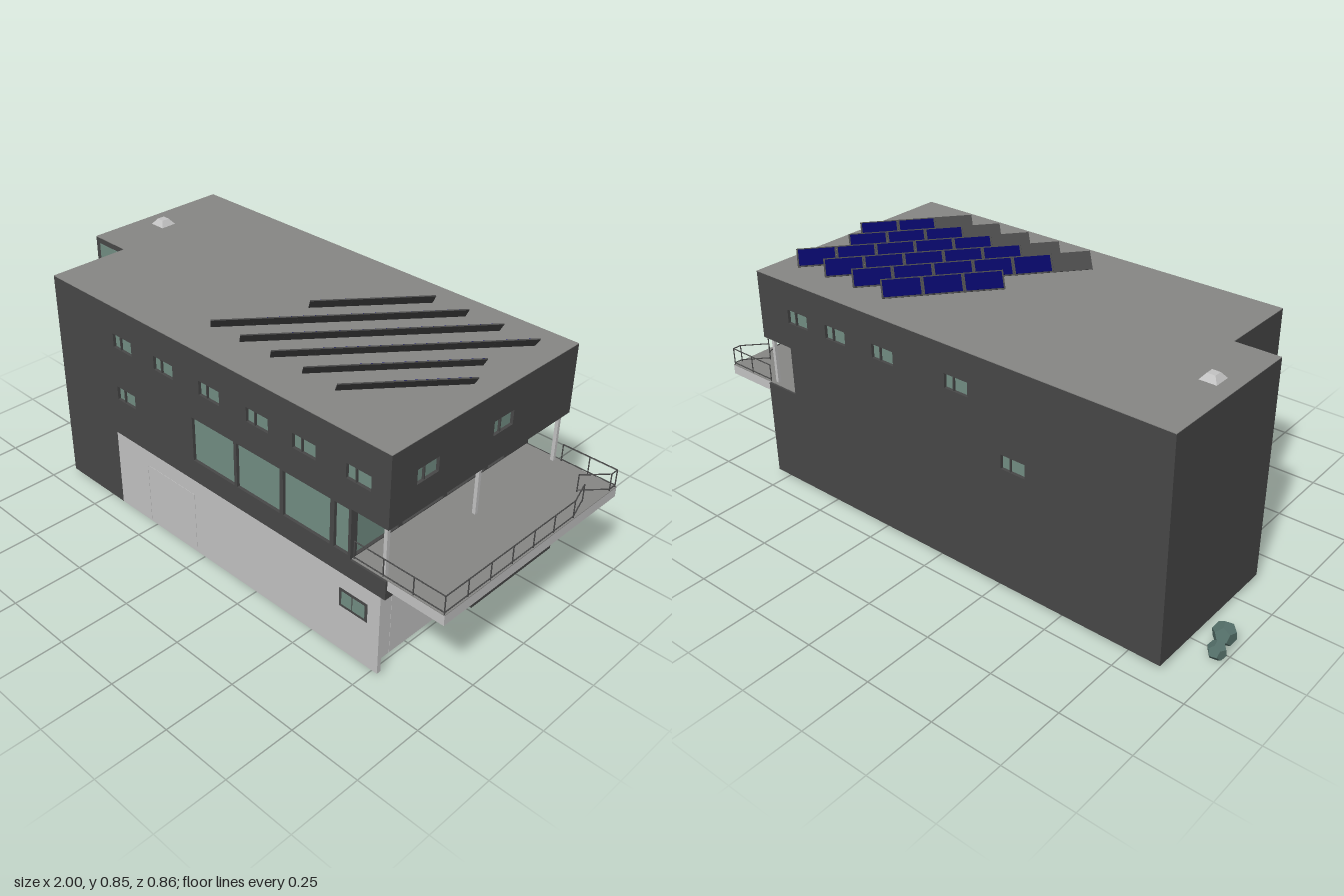
import * as THREE from 'three';

const mat = (name, color) => {
  const m = new THREE.MeshStandardMaterial({ color });
  m.name = name;
  return m;
};
const shapeOf = points => new THREE.Shape(points.map(([x, y]) => new THREE.Vector2(x, y)));

export function createModel() {
  const wall = mat('dark cladding', 0x474747);
  const pale = mat('pale concrete', 0xc3c3c3);
  const roofGrey = mat('roof grey', 0x868684);
  const glass = mat('green glass', 0x728d83);
  const blue = mat('solar blue', 0x06065f);
  const beige = mat('beige plaster', 0xd8cbc3);
  const leaf = mat('bush green', 0x55706a);

  const model = new THREE.Group();
  model.name = 'building';
  const X = 0.796, Z = 0.427, D = 0.014; // outer faces and cladding depth
  const XI = X - D, ZI = Z - D;

  const add = (name, geometry, m, parent = model) => {
    const mesh = new THREE.Mesh(geometry, m);
    mesh.name = name;
    parent.add(mesh);
    return mesh;
  };

  // Box given by its two extreme corners
  const box = (name, m, x0, x1, y0, y1, z0, z1, parent = model) => {
    const mesh = add(name, new THREE.BoxGeometry(x1 - x0, y1 - y0, z1 - z0), m, parent);
    mesh.position.set((x0 + x1) / 2, (y0 + y1) / 2, (z0 + z1) / 2);
    return mesh;
  };

  // Bar between two points
  const bar = (name, m, a, b, r, parent = model) => {
    const p = new THREE.Vector3(...a), q = new THREE.Vector3(...b);
    const mesh = add(name, new THREE.CylinderGeometry(r, r, p.distanceTo(q), 14), m, parent);
    mesh.position.copy(p).add(q).multiplyScalar(0.5);
    mesh.quaternion.setFromUnitVectors(new THREE.Vector3(0, 1, 0), q.sub(p).normalize());
  };

  // Facade planes; local x runs along the wall, local z points outward
  const facade = (name, x, z, turn) => {
    const g = new THREE.Group();
    g.name = name;
    g.position.set(x, 0, z);
    g.rotation.y = turn;
    model.add(g);
    return g;
  };
  const front = facade('frontFacade', 0, Z, 0);
  const back = facade('backFacade', 0, -Z, Math.PI);
  const right = facade('rightFacade', X, 0, Math.PI / 2);
  const terrace = facade('terraceFacade', 0.66, 0, Math.PI / 2);
  const garage = facade('garageFacade', 0.745, 0, Math.PI / 2);
  const tower = facade('towerFacade', 0, 0.13, 0);

  // Cladding sheet with recessed windows: [u0, u1, v0, v1, mullion]
  const cladding = (face, points, windows) => {
    const shape = shapeOf(points);
    windows.forEach(([u0, u1, v0, v1, mullion]) => {
      shape.holes.push(shapeOf([[u0, v0], [u0, v1], [u1, v1], [u1, v0]]));
      box('glassPane', glass, u0, u1, v0, v1, -D, -D + 0.003, face);
      if (mullion) box('mullion', wall, mullion - 0.002, mullion + 0.002, v0, v1, -D, -0.003, face);
    });
    const geometry = new THREE.ExtrudeGeometry(shape, { depth: D, bevelEnabled: false });
    add('cladding', geometry, wall, face).position.z = -D;
  };
  const small = (u, v) => [u, u + 0.093, v, v + 0.05, u + 0.034];
  const pane = (face, u0, u1, v0, v1) => box('glassPane', glass, u0, u1, v0, v1, 0, 0.0022, face);
  const outline = (face, m, u0, u1, v0, v1, t, d) => {
    box('frameLeft', m, u0, u0 + t, v0, v1, 0, d, face);
    box('frameRight', m, u1 - t, u1, v0, v1, 0, d, face);
    box('frameTop', m, u0, u1, v1 - t, v1, 0, d, face);
  };

  // Clad walls, leaving the terrace recess open at the front and back
  cladding(front,
    [[-0.71, 0.015], [-0.425, 0.015], [-0.425, 0.308], [X, 0.308], [X, 0.375], [0.66, 0.375], [0.66, 0.555], [X, 0.555], [X, 0.8], [-0.71, 0.8]],
    [...[-0.402, -0.196, 0.02, 0.232, 0.425, 0.635].map(u => small(u, 0.65)), small(-0.402, 0.45),
      ...[[-0.02, 0.172], [0.184, 0.372], [0.386, 0.578], [0.594, 0.65]].map(([a, b]) => [a, b, 0.388, 0.55])]);
  cladding(back,
    [[-X, 0.015], [0.87, 0.015], [0.87, 0.8], [-X, 0.8], [-X, 0.555], [-0.66, 0.555], [-0.66, 0.375], [-X, 0.375]],
    [...[0.61, 0.43, 0.215, -0.095].map(x => small(-x - 0.046, 0.65)), small(0.27, 0.45)]);
  cladding(right, [[-ZI, 0.555], [ZI, 0.555], [ZI, 0.8], [-ZI, 0.8]],
    [-0.316, 0.024].map(u => small(u, 0.652)));
  cladding(terrace, [[-ZI, 0.375], [ZI, 0.375], [ZI, 0.555], [-ZI, 0.555]],
    [[-0.4, -0.218], [-0.2, -0.008], [0.008, 0.195], [0.212, 0.297]].map(([a, b]) => [a, b, 0.38, 0.548]));

  // Upper storey core and roof deck, with the notch at the front left
  const storey = (name, m, x, z, y0, y1) => {
    const plan = shapeOf([[-0.87, z], [-0.87, -0.13], [-0.71, -0.13], [-0.71, -z], [x, -z], [x, z]]);
    const geometry = new THREE.ExtrudeGeometry(plan, { depth: y1 - y0, bevelEnabled: false });
    geometry.rotateX(-Math.PI / 2);
    add(name, geometry, m).position.y = y0;
  };
  storey('upperStorey', wall, XI, ZI, 0.555, 0.8);
  storey('roofDeck', roofGrey, X, Z, 0.8, 0.802);

  // Middle storey set back behind the terrace
  box('middleStorey', wall, -0.71, 0.66 - D, 0.375, 0.555, -ZI, ZI);
  box('floorBand', wall, -0.71, X, 0.308, 0.375, -ZI, ZI);

  // Ground storey, open below
  box('frontWallPale', pale, -0.425, 0.78, 0.015, 0.308, 0.412, Z);
  box('frontInnerLining', roofGrey, -0.425, 0.73, 0.016, 0.308, 0.408, 0.412);
  box('innerDoor', pale, -0.27, -0.03, 0.016, 0.265, 0.404, 0.408);
  box('rightWall', wall, XI, X, 0.015, 0.308, -ZI, 0);
  box('garageReveal', wall, 0.73, XI, 0.015, 0.308, -0.012, 0);
  box('garageWall', pale, 0.73, 0.745, 0.015, 0.308, 0, 0.412);
  box('leftWall', wall, -0.71, -0.695, 0.015, 0.308, 0.13, ZI);

  // Stair tower with a plastered inside
  box('towerLeftWall', wall, -0.87, -0.858, 0.015, 0.555, -ZI, 0.13);
  box('towerLining', beige, -0.858, -0.852, 0.016, 0.555, -ZI, 0.118);
  box('towerCeiling', beige, -0.852, -0.71, 0.545, 0.555, -ZI, 0.118);
  box('towerFrontWall', wall, -0.858, -0.71, 0.015, 0.555, 0.122, 0.13);
  box('towerFrontLining', beige, -0.852, -0.71, 0.12, 0.545, 0.118, 0.122);
  box('towerInnerDoor', glass, -0.852, -0.71, 0.016, 0.12, 0.118, 0.122);
  const stair = box('stairFlight', roofGrey, -0.85, -0.78, 0.1, 0.115, -0.05, 0.1);
  stair.rotation.x = 0.6;
  pane(tower, -0.848, -0.715, 0.02, 0.78);
  [[-0.763, -0.717, 0.59, 0.765], [-0.763, -0.717, 0.38, 0.56], [-0.763, -0.717, 0.02, 0.18], [-0.815, -0.758, 0.02, 0.18]]
    .forEach(([u0, u1, v0, v1]) => {
      outline(tower, wall, u0, u1, v0, v1, 0.007, 0.005);
      box('frameSill', wall, u0, u1, v0, v0 + 0.007, 0, 0.005, tower);
    });

  // Window in the pale base wall
  box('baseWindowFrame', wall, 0.622, 0.733, 0.185, 0.253, 0, 0.0012, front);
  pane(front, 0.632, 0.672, 0.195, 0.243);
  pane(front, 0.676, 0.723, 0.195, 0.243);

  // Door outlines
  outline(front, pale, -0.265, -0.025, 0.016, 0.25, 0.0015, 0.001);
  outline(garage, pale, -0.335, -0.066, 0.016, 0.283, 0.0015, 0.001);

  // Terrace slab, columns and railing with its angled gate ends
  box('terraceSlab', pale, X, 1, 0.34, 0.375, -0.42, 0.42);
  box('terraceFloor', roofGrey, 0.66, 1, 0.375, 0.377, -0.42, 0.42);
  [0.405, 0, -0.403].forEach(z => box('column', pale, 0.768, 0.78, 0.377, 0.555, z - 0.006, z + 0.006));
  const rail = (a, b, n) => {
    const at = (t, y) => [a[0] + (b[0] - a[0]) * t, y, a[1] + (b[1] - a[1]) * t];
    [0.383, 0.44].forEach(y => bar('handrail', wall, at(0, y), at(1, y), 0.002));
    for (let i = 0; i <= n; i++) bar('railPost', wall, at(i / n, 0.376), at(i / n, 0.44), 0.002);
  };
  rail([0.665, 0.416], [0.996, 0.416], 3);
  rail([0.996, 0.416], [0.996, -0.19], 6);
  rail([0.996, -0.19], [0.968, -0.28], 1);
  rail([0.928, -0.31], [0.996, -0.385], 1);
  rail([0.996, -0.385], [0.996, -0.416], 1);
  rail([0.798, -0.416], [0.996, -0.416], 2);

  // Diagonal rows of tilted solar panels
  const along = new THREE.Vector3(0.51, 0, -0.615).normalize();
  const slope = new THREE.Vector3(0.037, 0.048, 0.03).normalize();
  const normal = slope.clone().cross(along).normalize();
  const tilt = new THREE.Matrix4().makeBasis(along.clone().cross(normal), along, normal);
  const pitch = 0.1335, width = 0.067;
  [[-1, 3, 6], [0, 0, 6], [1, 0, 6], [2, 0, 6], [3, 0, 4], [4, 0, 3]].forEach(([row, from, to]) => {
    for (let i = from; i < to; i++) {
      const panel = new THREE.Group();
      panel.name = 'solarPanel';
      panel.quaternion.setFromRotationMatrix(tilt);
      panel.position.set(-0.068 + 0.133 * row, 0.802, 0.295)
        .addScaledVector(along, (i + 0.5) * pitch).addScaledVector(slope, width / 2);
      box('panelBack', wall, -width / 2, width / 2, -0.0665, 0.0665, -0.002, 0.002, panel);
      if (i > 0) box('panelFace', blue, -0.029, 0.029, -0.061, 0.061, 0.002, 0.0035, panel);
      model.add(panel);
    }
  });

  // Roof vent
  const ventGeometry = new THREE.CylinderGeometry(0.02, 0.042, 0.02, 4).toNonIndexed();
  ventGeometry.computeVertexNormals();
  const vent = add('roofVent', ventGeometry, pale);
  vent.rotation.y = Math.PI / 4;
  vent.position.set(-0.785, 0.812, -0.11);

  // Slim standing figure by the entrance
  const figure = new THREE.Group();
  figure.name = 'figure';
  figure.position.set(-0.79, 0, 0.139);
  figure.scale.z = 0.4;
  [-1, 1].forEach(s => {
    bar('figureLeg', beige, [s * 0.014, 0.018, 0], [s * 0.007, 0.075, 0], 0.007, figure);
    bar('figureArm', beige, [s * 0.014, 0.113, 0], [s * 0.024, 0.065, 0], 0.005, figure);
  });
  bar('figureBody', beige, [0, 0.068, 0], [0, 0.12, 0], 0.015, figure);
  add('figureHead', new THREE.SphereGeometry(0.011, 10, 8), beige, figure).position.y = 0.132;
  model.add(figure);

  // Bushes, faceted by their geometry
  [[-0.971, 0.032, -0.28, 0.032], [-0.957, 0.046, -0.216, 0.04]].forEach(([x, y, z, r]) => {
    const bush = add('bush', new THREE.DodecahedronGeometry(r), leaf);
    bush.position.set(x, y, z);
    bush.rotation.set(0.3, r * 20, 0.2);
  });

  return model;
}
